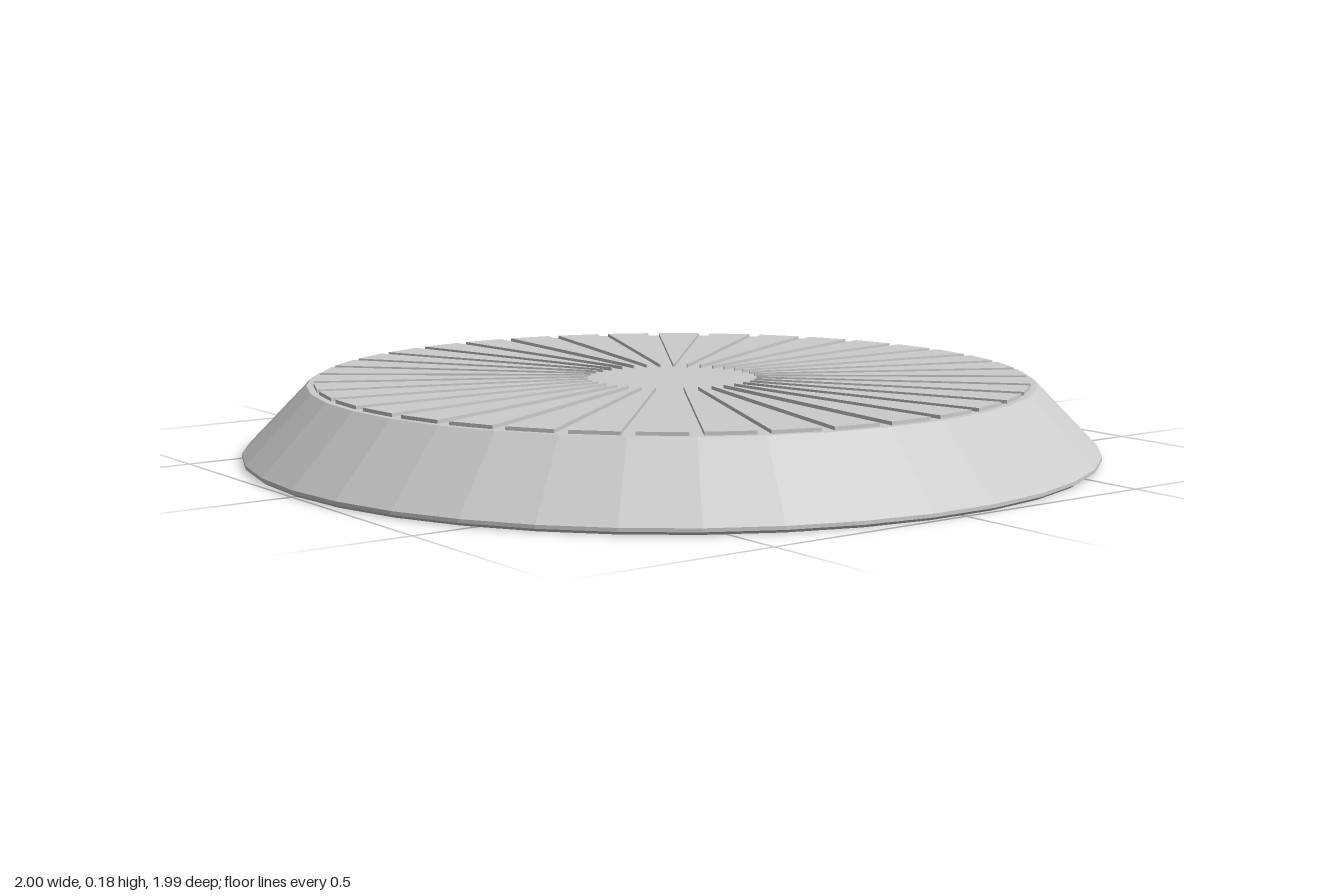
import * as THREE from 'three';

const SIDES = 38;
const BASE_TOP = 0.17;
const RIB_HEIGHT = 0.008;

export function createModel() {
  const model = new THREE.Group();
  model.name = 'ribbedDisc';
  const material = new THREE.MeshStandardMaterial({ color: 0xcccccc, flatShading: true });

  // Faceted base: small chamfered lip, 45 degree flank, flat top
  const profile = [
    [0, 0], [0.99, 0], [1, 0.007], [1, 0.015], [0.995, 0.02], [0.85, BASE_TOP], [0, BASE_TOP],
  ].map(([r, y]) => new THREE.Vector2(r, y));
  const baseGeometry = new THREE.LatheGeometry(profile, SIDES);
  baseGeometry.rotateY(Math.PI / 2); // corners on the x axis
  const base = new THREE.Mesh(baseGeometry, material);
  base.name = 'base';
  model.add(base);

  // Raised radial ribs: one wedge per facet, with even gaps between them
  const inner = 0.2, outer = 0.832, gap = 0.03;
  const halfWidth = (r) => Math.max(0.001, r * Math.tan(Math.PI / SIDES) - gap / 2);
  const wedge = new THREE.Shape([
    new THREE.Vector2(-halfWidth(inner), inner),
    new THREE.Vector2(halfWidth(inner), inner),
    new THREE.Vector2(halfWidth(outer), outer),
    new THREE.Vector2(-halfWidth(outer), outer),
  ]);
  const ribGeometry = new THREE.ExtrudeGeometry(wedge, { depth: RIB_HEIGHT, bevelEnabled: false });
  ribGeometry.rotateX(-Math.PI / 2);

  const ribs = new THREE.Group();
  ribs.name = 'radialRibs';
  for (let i = 0; i < SIDES; i++) {
    const rib = new THREE.Mesh(ribGeometry, material);
    rib.name = 'rib';
    rib.position.y = BASE_TOP;
    rib.rotation.y = (i * 2 * Math.PI) / SIDES;
    ribs.add(rib);
  }
  model.add(ribs);

  return model;
}
